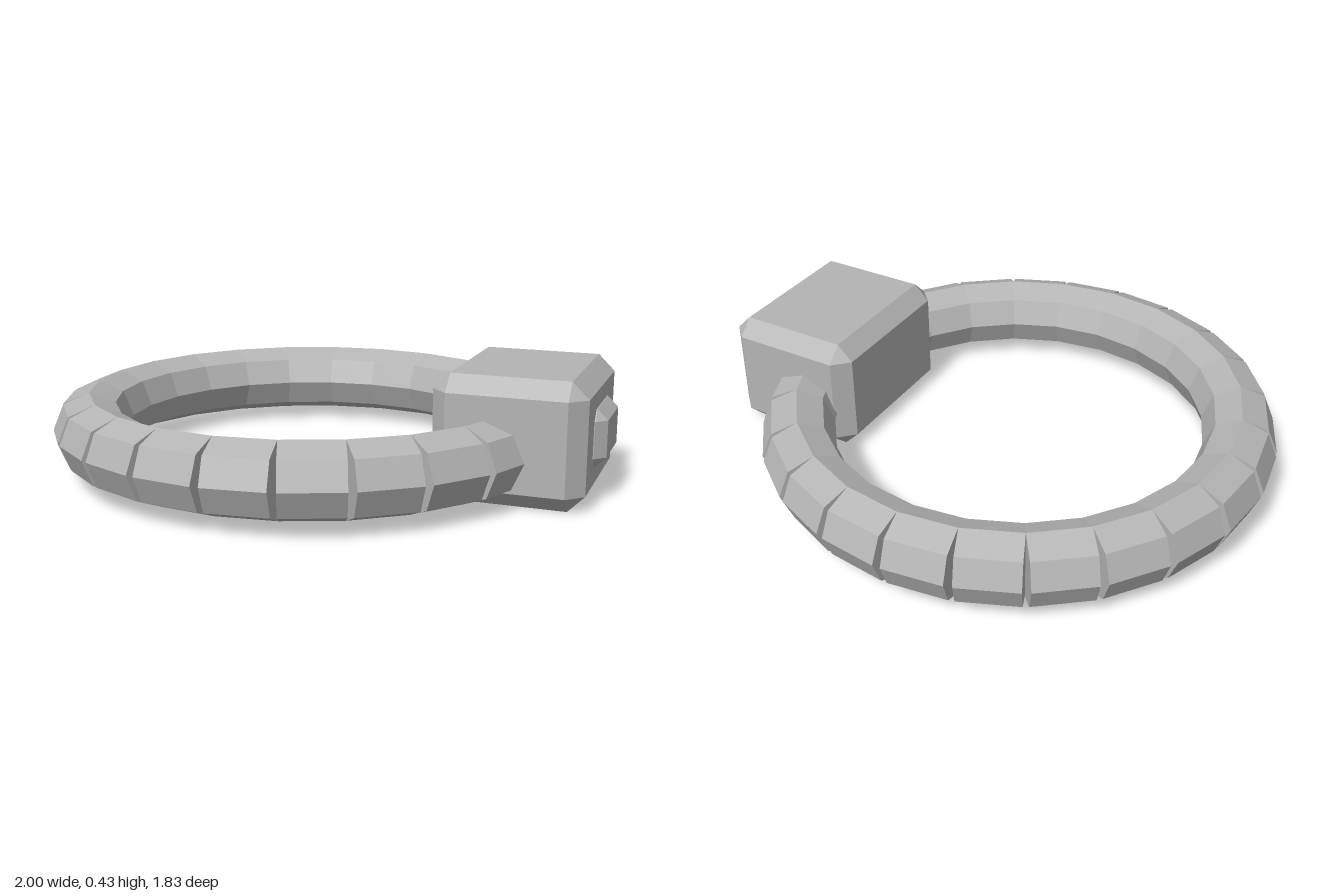
import * as THREE from 'three';
import { ConvexGeometry } from 'three/addons/geometries/ConvexGeometry.js';

const SEGMENTS = 24, SIDES = 8;
const RING_RADIUS = 0.789, TUBE_RADIUS = 0.128, NOTCH = 0.014;

// Box with every edge bevelled by c, corners cut to triangles
function bevelledBox(w, h, d, c) {
  const points = [];
  for (const sx of [-1, 1]) for (const sy of [-1, 1]) for (const sz of [-1, 1]) {
    const x = w / 2, y = h / 2, z = d / 2;
    points.push(
      new THREE.Vector3(sx * x, sy * (y - c), sz * (z - c)),
      new THREE.Vector3(sx * (x - c), sy * y, sz * (z - c)),
      new THREE.Vector3(sx * (x - c), sy * (y - c), sz * z));
  }
  return new ConvexGeometry(points);
}

// One octagonal link of the ring; its outer half tapers to leave V-shaped notches
function linkGeometry() {
  const points = [];
  const half = Math.PI / SEGMENTS;
  for (const side of [-1, 1]) {
    for (let i = 0; i < SIDES; i++) {
      const a = (i / SIDES) * Math.PI * 2;
      const r = RING_RADIUS + TUBE_RADIUS * Math.cos(a);
      const gap = NOTCH * Math.max(0, Math.cos(a));
      points.push(new THREE.Vector3(
        r * Math.cos(half) + gap * Math.sin(half),
        TUBE_RADIUS * Math.sin(a),
        side * (r * Math.sin(half) - gap * Math.cos(half))));
    }
  }
  return new ConvexGeometry(points);
}

export function createModel() {
  const model = new THREE.Group();
  model.name = 'braceletWithClasp';
  const grey = new THREE.MeshStandardMaterial({ color: 0xb4b4b4, flatShading: true });
  grey.name = 'grey';

  // Ring of links
  const ring = new THREE.Group();
  ring.name = 'ring';
  ring.position.set(-0.083, 0.16, 0);
  const link = linkGeometry();
  for (let i = 0; i < SEGMENTS; i++) {
    const mesh = new THREE.Mesh(link, grey);
    mesh.name = 'ringLink';
    mesh.rotation.y = ((i + 0.5) / SEGMENTS) * Math.PI * 2;
    ring.add(mesh);
  }
  model.add(ring);

  // Clasp housing and its side button
  const housing = new THREE.Mesh(bevelledBox(0.508, 0.426, 0.62, 0.056), grey);
  housing.name = 'claspHousing';
  housing.position.set(0.707, 0.213, 0);
  model.add(housing);

  const button = new THREE.Mesh(bevelledBox(0.12, 0.196, 0.286, 0.036), grey);
  button.name = 'claspButton';
  button.position.set(0.94, 0.214, 0);
  model.add(button);

  return model;
}
